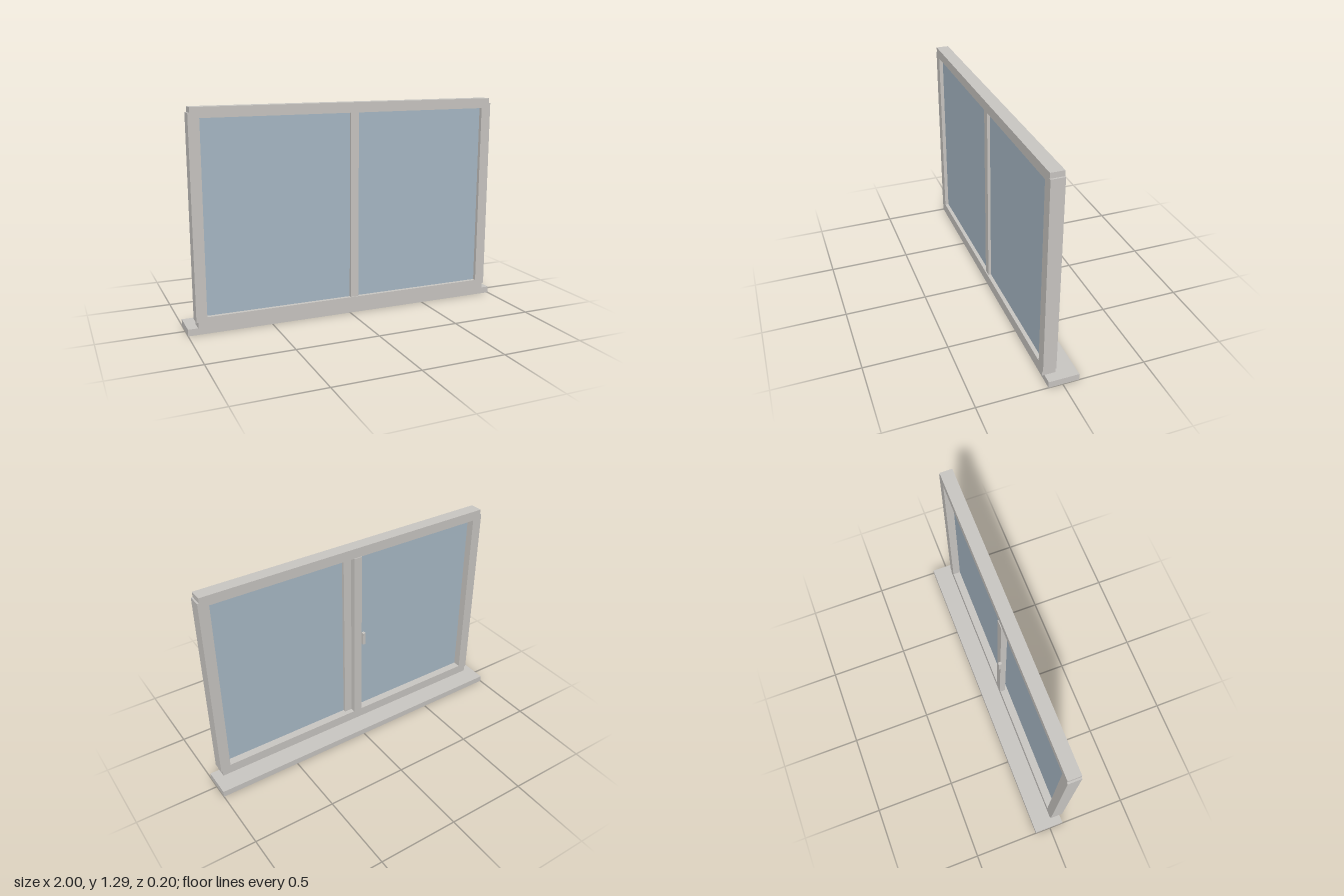
import * as THREE from 'three';

export function createModel() {
  const model = new THREE.Group();
  model.name = 'slidingWindow';

  const frameGrey = new THREE.MeshStandardMaterial({ color: 0xcbc8c4 });
  frameGrey.name = 'frame grey';
  const glassBlue = new THREE.MeshStandardMaterial({ color: 0xaabbc8 });
  glassBlue.name = 'glass blue';

  // Adds a box given by its extents on each axis
  function addBox(name, [x0, x1], [y0, y1], [z0, z1], material = frameGrey) {
    const mesh = new THREE.Mesh(new THREE.BoxGeometry(x1 - x0, y1 - y0, z1 - z0), material);
    mesh.position.set((x0 + x1) / 2, (y0 + y1) / 2, (z0 + z1) / 2);
    mesh.name = name;
    model.add(mesh);
  }

  const depth = [0.02, 0.0985];   // frame depth
  const opening = [0.104, 1.23];  // clear height between the rails

  // Sill board, reaching out to the back
  addBox('sill', [-1, 1], [0, 0.04], [-0.0985, 0.084]);

  // Rails
  addBox('bottomRail', [-0.943, 0.943], [0.043, opening[0]], depth);
  addBox('topRail', [-0.943, 0.943], [opening[1], 1.29], depth);

  // Jambs, standing slightly proud of the rail ends
  addBox('rightJamb', [-0.953, -0.89], [0.077, 1.259], depth);
  addBox('leftJamb', [0.89, 0.953], [0.077, 1.259], depth);

  // Glass panes either side of the meeting stiles
  addBox('rightPane', [-0.89, 0.002], opening, [0.069, 0.075], glassBlue);
  addBox('leftPane', [0.048, 0.89], opening, [0.069, 0.075], glassBlue);

  // Meeting stiles: fixed one in front, sliding one behind
  addBox('frontStile', [0, 0.05], opening, [0.05, 0.092]);
  addBox('backStile', [-0.053, 0], opening, [0.015, 0.052]);

  // Pull handle on the edge of the sliding stile
  addBox('handle', [-0.071, -0.053], [0.628, 0.708], [-0.002, 0.018]);

  return model;
}
